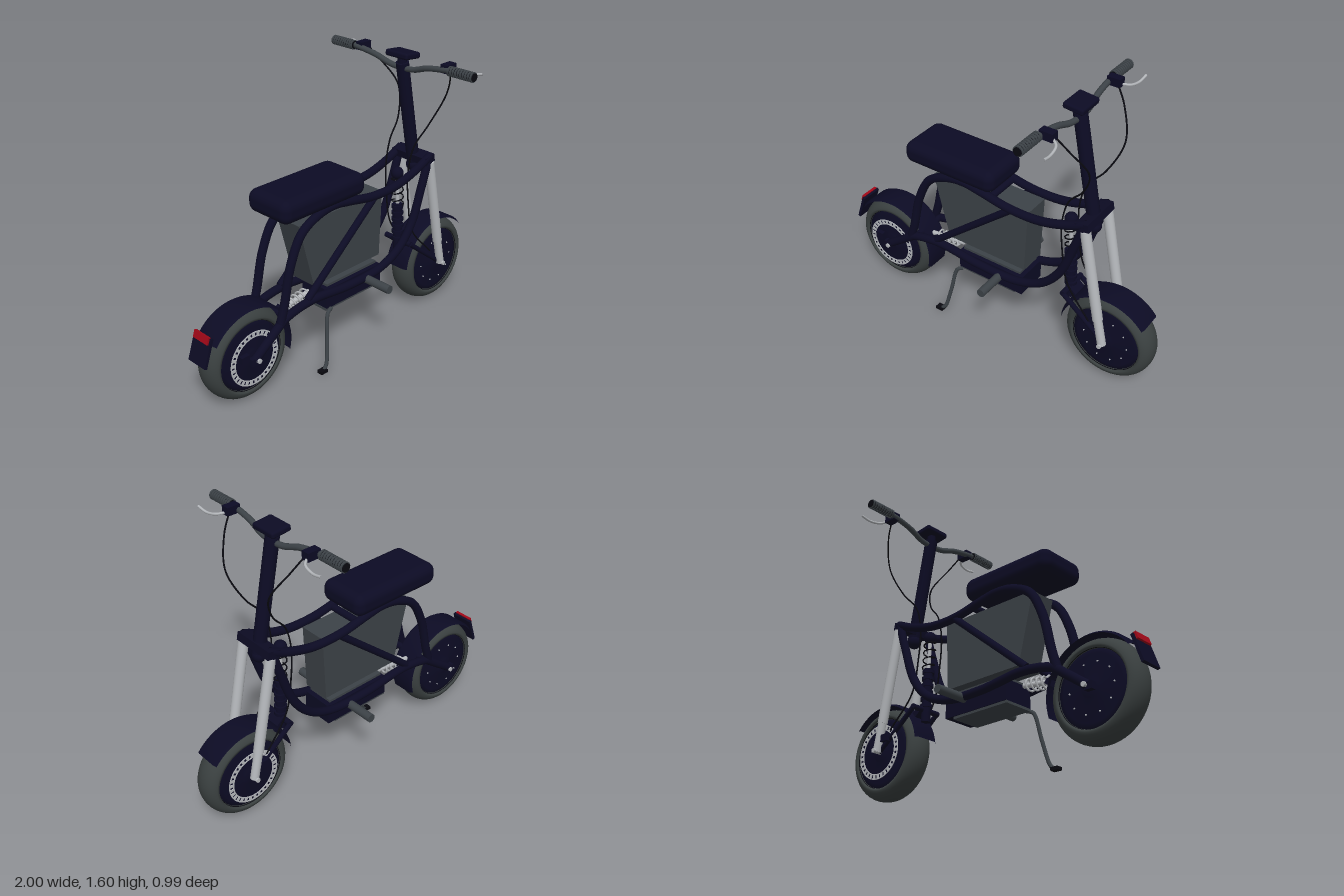
import * as THREE from 'three';
import { RoundedBoxGeometry } from 'three/addons/geometries/RoundedBoxGeometry.js';

const paint = (name, color, side = THREE.FrontSide) => {
  const m = new THREE.MeshStandardMaterial({ color, side });
  m.name = name;
  return m;
};
const V = (p) => new THREE.Vector3(...p);

export function createModel() {
  const navy = paint('navy frame', 0x0c0b24, THREE.DoubleSide);
  const rubber = paint('tyre grey', 0x3a4040);
  const grey = paint('battery grey', 0x3c4247);
  const silver = paint('silver', 0xb4b7bb);
  const black = paint('black', 0x090910);
  const red = paint('red', 0xa00818);
  const root = new THREE.Group();

  // Helpers
  const add = (name, geo, mat, pos = [0, 0, 0], parent = root) => {
    const m = new THREE.Mesh(geo, mat);
    m.name = name;
    m.position.set(...pos);
    parent.add(m);
    return m;
  };
  const box = (name, size, mat, pos, tilt = 0, parent = root) => {
    const m = add(name, new THREE.BoxGeometry(...size), mat, pos, parent);
    m.rotation.z = tilt;
    return m;
  };
  const rod = (name, a, b, r, mat, parent = root, r2 = r) => {
    const d = V(b).sub(V(a));
    const m = add(name, new THREE.CylinderGeometry(r2, r, d.length(), 20), mat,
      V(a).add(V(b)).multiplyScalar(0.5).toArray(), parent);
    m.quaternion.setFromUnitVectors(new THREE.Vector3(0, 1, 0), d.normalize());
    return m;
  };
  const tube = (name, pts, r, mat, steps = 60, sides = 12) =>
    add(name, new THREE.TubeGeometry(new THREE.CatmullRomCurve3(pts.map(V)), steps, r, sides), mat);
  const flat = (pts, z) => pts.map(([x, y]) => [x, y, z]);
  const spring = (name, a, b, r, wire, turns, mat) => {
    const A = V(a), axis = V(b).sub(A), n = turns * 10, pts = [];
    const u = new THREE.Vector3(0, 0, 1), w = axis.clone().normalize().cross(u);
    for (let i = 0; i <= n; i++) {
      const t = (i / 10) * Math.PI * 2;
      pts.push(A.clone().addScaledVector(axis, i / n)
        .addScaledVector(u, r * Math.cos(t)).addScaledVector(w, r * Math.sin(t)).toArray());
    }
    tube(name, pts, wire, mat, n, 6);
  };
  const lathe = (pts) =>
    new THREE.LatheGeometry(pts.map((p) => new THREE.Vector2(...p)), 56).rotateX(Math.PI / 2);

  // Slotted brake disc
  const discShape = new THREE.Shape().absarc(0, 0, 0.155, 0, Math.PI * 2);
  discShape.holes.push(new THREE.Path().absarc(0, 0, 0.124, 0, Math.PI * 2, true));
  for (let i = 0; i < 30; i++) {
    const a = (i / 30) * Math.PI * 2, w = 0.045;
    const corner = (r, t) => new THREE.Vector2(r * Math.cos(t), r * Math.sin(t));
    discShape.holes.push(new THREE.Path([
      corner(0.13, a - w), corner(0.149, a - w), corner(0.149, a + w), corner(0.13, a + w)]));
  }
  const discGeo = new THREE.ExtrudeGeometry(discShape, { depth: 0.004, bevelEnabled: false, curveSegments: 40 });

  // Wheels: tyre, hub motor, disc on one side and rivets on the other
  const wheel = (name, x, side) => {
    const g = new THREE.Group();
    g.name = name;
    g.position.set(x, 0.265, 0);
    root.add(g);
    const profile = [[0.195, -0.062]];
    for (let i = 0; i <= 16; i++) {
      const t = -Math.PI / 2 + (i / 16) * Math.PI;
      profile.push([0.203 + 0.057 * Math.cos(t), 0.079 * Math.sin(t)]);
    }
    profile.push([0.195, 0.062]);
    add('tyre', lathe(profile), rubber, [0, 0, 0], g);
    add('hub', lathe([[0, -0.085], [0.05, -0.085], [0.06, -0.072], [0.17, -0.068], [0.203, -0.06],
      [0.203, 0.06], [0.17, 0.068], [0.06, 0.072], [0.05, 0.085], [0, 0.085]]), navy, [0, 0, 0], g);
    for (const s of [-1, 1]) {
      rod('axle', [0, 0, s * 0.08], [0, 0, s * 0.14], 0.013, silver, g);
      add('rimLip', new THREE.TorusGeometry(0.2, 0.004, 6, 56), black, [0, 0, s * 0.066], g);
    }
    add('brakeDisc', discGeo, silver, [0, 0, side * 0.096 - 0.002], g);
    for (let i = 0; i < 10; i++) {
      const a = (i / 10) * Math.PI * 2, c = 0.13 * Math.cos(a), d = 0.13 * Math.sin(a);
      rod('rivet', [c, d, -side * 0.06], [c, d, -side * 0.074], 0.004, silver, g);
    }
  };
  wheel('rearWheel', -0.71, 1);
  wheel('frontWheel', 0.74, -1);

  // Fenders: curved shell with bent edges
  const fender = (name, x, from, to) => {
    const section = [[0.078, 0.268], [0.06, 0.281], [-0.06, 0.281], [-0.078, 0.268]];
    const pos = [], idx = [], n = 32;
    for (let i = 0; i <= n; i++) {
      const a = THREE.MathUtils.degToRad(from + ((to - from) * i) / n);
      for (const [z, r] of section) pos.push(r * Math.cos(a), r * Math.sin(a), z);
      if (i < n) for (let k = 0; k < 3; k++) {
        const p = i * 4 + k;
        idx.push(p, p + 1, p + 4, p + 1, p + 5, p + 4);
      }
    }
    const geo = new THREE.BufferGeometry();
    geo.setAttribute('position', new THREE.Float32BufferAttribute(pos, 3));
    geo.setIndex(idx.reverse());
    geo.computeVertexNormals();
    add(name, geo, navy, [x, 0.265, 0]);
  };
  fender('rearFender', -0.71, -17, 145);
  fender('frontFender', 0.74, 40, 173);
  box('tailFlap', [0.016, 0.16, 0.13], navy, [-0.968, 0.395, 0], -0.32);
  box('tailLight', [0.014, 0.04, 0.11], red, [-0.958, 0.462, 0], -0.32);
  box('frontFenderBracket', [0.13, 0.035, 0.09], navy, [0.535, 0.43, 0], -0.7);
  box('rearFenderBracket', [0.11, 0.03, 0.09], navy, [-0.46, 0.36, 0], 0.6);

  // Paired frame tubes, swingarms and fork legs
  for (const s of [-1, 1]) {
    const z = s * 0.108;
    tube('upperFrameTube', flat([[0.6, 0.99], [0.5, 0.945], [0.33, 0.897], [0.144, 0.893], [-0.04, 0.925],
      [-0.15, 0.94], [-0.256, 0.925], [-0.38, 0.86], [-0.46, 0.71], [-0.51, 0.5], [-0.54, 0.4]], z), 0.024, navy);
    tube('lowerFrameTube', flat([[0.595, 0.985], [0.54, 0.82], [0.464, 0.62], [0.357, 0.496], [0.2, 0.43],
      [-0.04, 0.42], [-0.31, 0.445], [-0.45, 0.43], [-0.55, 0.4]], z), 0.024, navy);
    rod('diagonalBrace', [0.15, 0.885, z], [-0.35, 0.46, z], 0.02, navy);
    rod('swingarm', [-0.52, 0.41, z], [-0.72, 0.262, z], 0.024, navy);
    rod('forkUpper', [0.6, 0.955, z], [0.707, 0.42, z], 0.028, silver);
    rod('forkLower', [0.705, 0.43, z], [0.742, 0.262, z], 0.024, silver);
    box('axleClamp', [0.045, 0.04, 0.03], navy, [-0.725, 0.26, z]);
    box('caliper', [0.05, 0.04, 0.025], navy, s > 0 ? [-0.785, 0.3, z] : [0.68, 0.33, z]);
    rod('footPeg', [0.088, 0.412, s * 0.09], [0.088, 0.412, s * 0.29], 0.024, grey);
  }
  for (const [x, y] of [[-0.5, 0.42], [-0.25, 0.925], [0.02, 0.91]])
    rod('crossTube', [x, y, -0.108], [x, y, 0.108], 0.02, navy);

  // Seat
  add('seat', new RoundedBoxGeometry(0.58, 0.127, 0.3, 4, 0.05), navy, [-0.235, 1.01, 0]);

  // Battery: tapered block
  const side = new THREE.Shape([[-0.375, 0.885], [-0.275, 0.5], [0.225, 0.5], [0.242, 0.885]]
    .map((p) => new THREE.Vector2(...p)));
  add('battery', new THREE.ExtrudeGeometry(side, { depth: 0.16, bevelEnabled: false }), grey, [0, 0, -0.08]);

  // Controller case and plates below the battery
  box('batteryTray', [0.38, 0.014, 0.16], grey, [0.01, 0.463, 0]);
  box('controllerCase', [0.42, 0.115, 0.19], navy, [0.012, 0.39, 0]);
  box('controllerBase', [0.37, 0.014, 0.18], grey, [-0.015, 0.326, 0]);

  // Kickstand
  tube('kickstand', [[-0.17, 0.33, 0.1], [-0.205, 0.315, 0.11], [-0.235, 0.17, 0.135], [-0.265, 0.04, 0.158],
    [-0.285, 0.018, 0.162]], 0.011, grey, 24, 8);
  box('kickstandFoot', [0.045, 0.018, 0.035], black, [-0.298, 0.014, 0.163]);

  // Steering stem, crown and display
  rod('stem', [0.59, 0.93, 0], [0.47, 1.54, 0], 0.036, navy);
  add('stemBase', new THREE.SphereGeometry(0.04, 20, 14), navy, [0.588, 0.915, 0]);
  box('forkCrown', [0.075, 0.045, 0.25], navy, [0.588, 0.975, 0], 0.2);
  const display = add('display', new RoundedBoxGeometry(0.115, 0.035, 0.155, 3, 0.012), navy, [0.472, 1.585, 0]);
  display.rotation.z = -0.1;
  rod('displayMount', [0.47, 1.52, 0], [0.47, 1.58, 0], 0.025, navy);

  // Handlebar with grips, levers and cables
  tube('handlebar', [[0.455, 1.57, -0.36], [0.455, 1.562, -0.28], [0.46, 1.545, -0.18], [0.47, 1.512, -0.07],
    [0.47, 1.512, 0.07], [0.46, 1.545, 0.18], [0.455, 1.562, 0.28], [0.455, 1.57, 0.36]], 0.016, grey);
  for (const s of [-1, 1]) {
    rod('grip', [0.452, 1.568, s * 0.335], [0.452, 1.568, s * 0.496], 0.022, black);
    for (let i = 0; i < 10; i++)
      rod('gripRib', [0.452, 1.568, s * (0.337 + i * 0.016)], [0.452, 1.568, s * (0.347 + i * 0.016)], 0.027, grey);
    box('leverClamp', [0.075, 0.045, 0.045], navy, [0.485, 1.57, s * 0.3]);
    tube('brakeLever', [[0.51, 1.56, s * 0.3], [0.55, 1.55, s * 0.335], [0.562, 1.54, s * 0.4],
      [0.567, 1.552, s * 0.46]], 0.007, silver, 16, 8);
    tube('brakeCable', [[0.51, 1.56, s * 0.285], [0.57, 1.48, s * 0.25], [0.634, 1.34, s * 0.17],
      [0.575, 1.18, s * 0.11], [0.485, 1.07, s * 0.088], [0.45, 0.93, s * 0.083], [0.46, 0.74, s * 0.083],
      [0.5, 0.55, s * 0.085], [0.65, 0.37, s * 0.1]], 0.0045, black, 70, 6);
  }

  // Front shock absorber and its link to the axle
  add('shockMount', new THREE.SphereGeometry(0.036, 18, 12), navy, [0.455, 0.9, 0]);
  rod('shockRod', [0.455, 0.9, 0], [0.465, 0.68, 0], 0.011, silver);
  spring('shockSpring', [0.455, 0.88, 0], [0.465, 0.7, 0], 0.034, 0.004, 4, black);
  rod('shockBody', [0.463, 0.71, 0], [0.475, 0.4, 0], 0.026, navy);
  for (let i = 0; i < 6; i++)
    rod('shockRing', [0.463 + i * 0.002, 0.7 - i * 0.04, 0], [0.463 + i * 0.002, 0.682 - i * 0.04, 0], 0.034, navy);
  for (const s of [-1, 1]) rod('axleLink', [0.48, 0.47, s * 0.088], [0.74, 0.265, s * 0.092], 0.014, navy);
  rod('linkPivot', [0.48, 0.47, -0.095], [0.48, 0.47, 0.095], 0.016, navy);

  // Rear shock absorber
  rod('rearShockRod', [-0.24, 0.42, 0], [-0.47, 0.39, 0], 0.014, silver);
  spring('rearShockSpring', [-0.26, 0.417, 0], [-0.43, 0.395, 0], 0.032, 0.006, 5, silver);

  return root;
}
